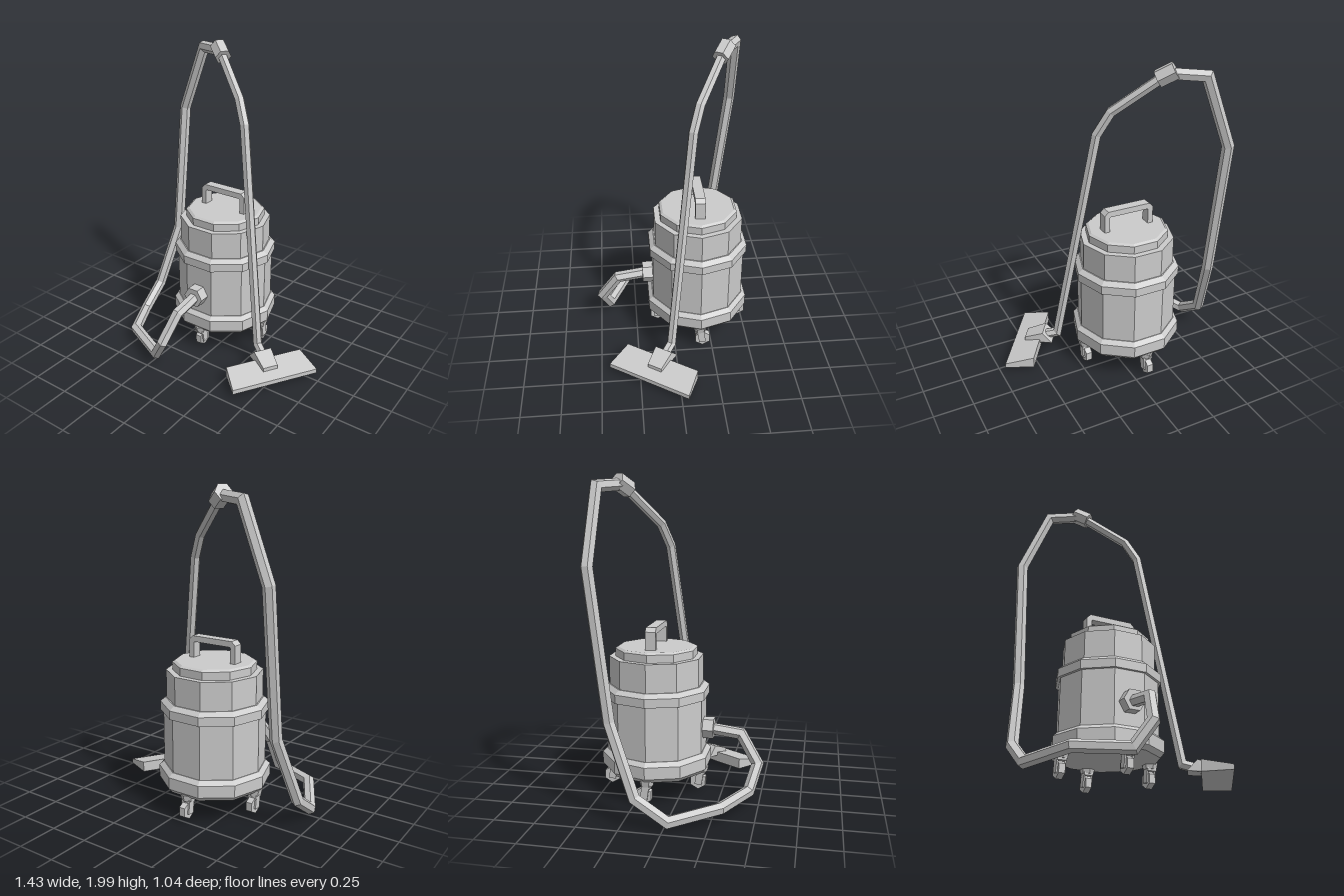
import * as THREE from 'three';
import { ConvexGeometry } from 'three/addons/geometries/ConvexGeometry.js';

const grey = new THREE.MeshStandardMaterial({ color: 0xcccccc, flatShading: true });
const V = (x, y, z) => new THREE.Vector3(x, y, z);

function add(parent, name, geometry, x = 0, y = 0, z = 0) {
  const mesh = new THREE.Mesh(geometry, grey);
  mesh.name = name;
  mesh.position.set(x, y, z);
  parent.add(mesh);
  return mesh;
}

// Six-sided pipe through the points, with mitred corners and closed ends
function pipe(points, radius, sides = 6) {
  const pos = [], index = [], n = points.length;
  const dirs = points.slice(1).map((p, i) => p.clone().sub(points[i]).normalize());
  const u = V(0, 1, 0).cross(dirs[0]).normalize();
  const v = dirs[0].clone().cross(u);
  let ring = [];
  for (let k = 0; k < sides; k++) {
    const a = (k / sides) * Math.PI * 2;
    ring.push(points[0].clone().addScaledVector(u, radius * Math.cos(a)).addScaledVector(v, radius * Math.sin(a)));
  }
  points.forEach((p, i) => {
    if (i > 0) {
      // slide the ring along the segment onto the mitre plane
      const d = dirs[i - 1];
      const normal = d.clone().add(dirs[i] || d).normalize();
      ring = ring.map(q => q.clone().addScaledVector(d, p.clone().sub(q).dot(normal) / d.dot(normal)));
    }
    ring.forEach(q => pos.push(q.x, q.y, q.z));
  });
  for (let i = 0; i < n - 1; i++) {
    for (let k = 0; k < sides; k++) {
      const a = i * sides + k, b = i * sides + (k + 1) % sides;
      index.push(a, b, b + sides, a, b + sides, a + sides);
    }
  }
  const end = (n - 1) * sides;
  for (let k = 1; k < sides - 1; k++) index.push(0, k + 1, k, end, end + k, end + k + 1);
  const g = new THREE.BufferGeometry();
  g.setAttribute('position', new THREE.Float32BufferAttribute(pos, 3));
  g.setIndex(index);
  g.computeVertexNormals();
  return g;
}

// Wedge from mirrored edges given as [half width, y, z]
const wedge = edges => new ConvexGeometry(edges.flatMap(([w, y, z]) => [V(-w, y, z), V(w, y, z)]));

function caster(parent, x, z) {
  const g = new THREE.Group();
  g.name = 'caster';
  g.position.set(x, 0, z);
  parent.add(g);
  add(g, 'casterMount', new THREE.CylinderGeometry(0.05, 0.04, 0.04, 6), 0, 0.16, 0);
  add(g, 'forkCrown', new THREE.BoxGeometry(0.06, 0.02, 0.058), 0, 0.138, 0);
  for (const s of [-1, 1]) {
    add(g, 'forkSide', new THREE.BoxGeometry(0.01, 0.085, 0.045), s * 0.025, 0.1, -0.008).rotation.x = 0.15;
  }
  const wheel = new THREE.CylinderGeometry(0.055, 0.055, 0.04, 6);
  wheel.rotateZ(Math.PI / 2);
  wheel.rotateX(Math.PI / 2);
  add(g, 'wheel', wheel, 0, 0.08, -0.016);
}

export function createModel() {
  const model = new THREE.Group();
  model.name = 'vacuumCleaner';

  // Ten-sided canister
  const canister = new THREE.Group();
  canister.name = 'canister';
  canister.position.set(-0.09, 0, -0.17);
  model.add(canister);
  const turned = (name, profile) => add(canister, name, new THREE.LatheGeometry(
    profile.map(([r, y]) => new THREE.Vector2(r, y)), 10, Math.PI / 2));
  turned('baseBumper', [[0, 0.167], [0.325, 0.167], [0.35, 0.195], [0.35, 0.27], [0.322, 0.295], [0, 0.295]]);
  turned('tank', [[0, 0.28], [0.318, 0.28], [0.318, 0.65], [0, 0.65]]);
  turned('rimBand', [[0, 0.637], [0.337, 0.637], [0.337, 0.692], [0.305, 0.717], [0, 0.717]]);
  turned('motorHousing', [[0, 0.7], [0.298, 0.7], [0.298, 0.893], [0, 0.893]]);
  turned('lid', [[0, 0.88], [0.26, 0.88], [0.26, 0.942], [0.243, 0.953], [0, 0.953]]);

  // Carry handle with clipped corners
  const outline = [[0.168, 0.94], [0.168, 1.065], [0.143, 1.09]];
  const inner = [[0.13, 1.053], [0.134, 1.047], [0.134, 0.94]];
  const flip = list => list.map(([x, y]) => [-x, y]).reverse();
  const handleShape = new THREE.Shape([...outline, ...flip(outline), ...flip(inner), ...inner]
    .map(([x, y]) => new THREE.Vector2(x, y)));
  add(canister, 'carryHandle', new THREE.ExtrudeGeometry(handleShape, { depth: 0.065, bevelEnabled: false }), 0, 0, -0.033);

  for (const s of [-1, 1]) {
    caster(canister, s * 0.295, 0);
    caster(canister, 0, s * 0.285);
  }

  // Hose socket on the front of the tank
  const socket = new THREE.CylinderGeometry(0.07, 0.07, 0.1, 6);
  socket.rotateX(Math.PI / 2);
  socket.rotateZ(Math.PI / 2);
  add(model, 'hoseSocket', socket, -0.09, 0.435, 0.15);

  // Flexible hose from the socket round to the wand
  add(model, 'hose', pipe([
    V(-0.09, 0.435, 0.15), V(-0.085, 0.405, 0.37), V(-0.125, 0.23, 0.48), V(-0.22, 0.083, 0.435),
    V(-0.515, 0.088, 0.3), V(-0.67, 0.048, 0.02), V(-0.68, 0.18, -0.17), V(-0.617, 0.6, -0.33),
    V(-0.617, 1.485, -0.438), V(-0.445, 1.925, -0.43), V(-0.25, 1.94, -0.335)
  ], 0.037));

  // Wand and its coupler
  add(model, 'wand', pipe([
    V(-0.24, 1.935, -0.33), V(0.02, 1.705, -0.16), V(0.09, 1.565, -0.115),
    V(0.315, 0.14, 0.035), V(0.41, 0.105, 0.1)
  ], 0.031));
  add(model, 'coupler', pipe([V(-0.2, 1.908, -0.303), V(-0.28, 1.962, -0.358)], 0.054));

  // Floor head, turned to follow the wand
  const head = new THREE.Group();
  head.name = 'floorHead';
  head.position.set(0.405, 0, 0.1025);
  head.rotation.y = 0.99;
  model.add(head);
  add(head, 'nozzle', wedge([[0.262, 0.035, 0], [0.262, 0.105, 0], [0.292, 0.035, 0.182], [0.292, 0.065, 0.182]]));
  add(head, 'neck', wedge([[0.067, 0.088, -0.083], [0.06, 0.155, -0.02], [0.05, 0.108, 0.103], [0.05, 0.07, 0.103], [0.062, 0.085, 0]]));

  return model;
}
